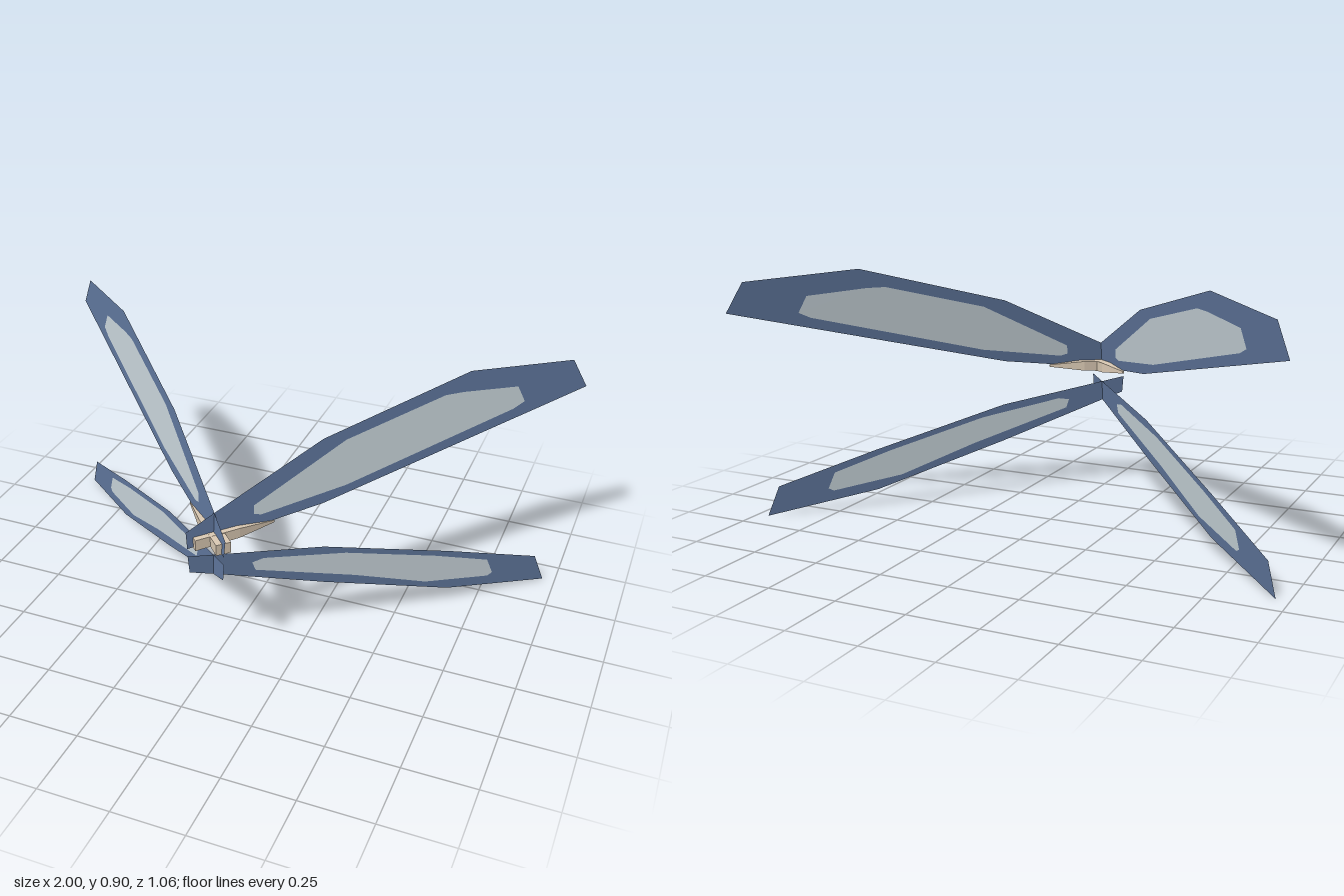
import * as THREE from 'three';

const mat = (name, color) => {
  const m = new THREE.MeshStandardMaterial({ color, side: THREE.DoubleSide });
  m.name = name;
  return m;
};

// Outlines are [x, y]; depth follows from the tilted plane z = a + b*x + c*y
const WINGS = {
  upper: {
    plane: [0.525, -0.959, -0.125],
    edge: [[-0.07, 0.53], [0, 0.58], [0.27, 0.765], [0.655, 0.905], [0.95, 0.874], [1, 0.765], [0.28, 0.53], [-0.065, 0.47]],
    pane: [[0.1, 0.577], [0.33, 0.745], [0.59, 0.835], [0.64, 0.834], [0.795, 0.815], [0.82, 0.755], [0.79, 0.735], [0.34, 0.58], [0.12, 0.538], [0.1, 0.545]],
  },
  lower: {
    plane: [0.497, -0.95, -0.07],
    edge: [[-0.065, 0.44], [0.29, 0.36], [0.655, 0.22], [0.92, 0.11], [0.955, 0], [0.655, 0.065], [0.295, 0.217], [0, 0.352], [-0.06, 0.378]],
    pane: [[0.1, 0.362], [0.13, 0.369], [0.352, 0.315], [0.612, 0.215], [0.77, 0.145], [0.79, 0.085], [0.776, 0.075], [0.588, 0.115], [0.381, 0.215], [0.109, 0.33]],
  },
};

const vec = (pts) => pts.map(([x, y]) => new THREE.Vector2(x, y));

// Flat shape laid onto the wing plane, side = 1 for left, -1 for right
function sheet(shape, [a, b, c], side) {
  const g = new THREE.ShapeGeometry(shape);
  const p = g.attributes.position;
  for (let i = 0; i < p.count; i++) {
    const x = p.getX(i), y = p.getY(i);
    p.setXYZ(i, side * x, y, a + b * x + c * y);
  }
  if (side < 0) {
    const idx = g.index.array;
    for (let i = 0; i < idx.length; i += 3) [idx[i], idx[i + 1]] = [idx[i + 1], idx[i]];
  }
  g.computeVertexNormals();
  return g;
}

// Tapered strut: sections of [x, z, half width, bottom y, top y]
const STRUT = [
  [-0.055, 0.508, 0.026, 0.468, 0.508],
  [0.055, 0.398, 0.026, 0.48, 0.516],
  [0.152, 0.312, 0.003, 0.498, 0.506],
];

function strut(side) {
  const rings = STRUT.map(([x, z, w, lo, hi]) => {
    const d = w * Math.SQRT1_2;
    return [[-d, -d, lo], [d, d, lo], [d, d, hi], [-d, -d, hi]]
      .map(([dx, dz, y]) => [side * (x + dx), y, z + dz]);
  });
  const pos = [];
  const quad = (a, b, c, d) => {
    const q = side > 0 ? [a, b, c, a, c, d] : [a, c, b, a, d, c];
    q.forEach((v) => pos.push(...v));
  };
  // Undersides come first so they form one material group
  for (let k = 0; k < 4; k++) {
    for (let i = 0; i < 2; i++) {
      const r = rings[i], t = rings[i + 1], n = (k + 1) % 4;
      quad(r[k], r[n], t[n], t[k]);
    }
  }
  quad(...[...rings[0]].reverse());
  quad(...rings[2]);
  const g = new THREE.BufferGeometry();
  g.setAttribute('position', new THREE.Float32BufferAttribute(pos, 3));
  g.addGroup(0, 12, 1);
  g.addGroup(12, pos.length / 3 - 12, 0);
  g.computeVertexNormals();
  return g;
}

export function createModel() {
  const model = new THREE.Group();
  model.name = 'wingSet';
  const blue = mat('wingBlue', 0x5f769c);
  const pale = mat('paneGrey', 0xc8d4da);
  const beige = mat('strutBeige', 0xdccbb5);
  const brown = mat('strutUnderside', 0x4a3a34);

  const add = (name, geometry, material, parent) => {
    const m = new THREE.Mesh(geometry, material);
    m.name = name;
    parent.add(m);
  };

  for (const side of [1, -1]) {
    const label = side > 0 ? 'Left' : 'Right';
    // Wings: a blue frame around a pale pane
    for (const [kind, { plane, edge, pane }] of Object.entries(WINGS)) {
      const wing = new THREE.Group();
      wing.name = `${kind}Wing${label}`;
      const frame = new THREE.Shape(vec(edge));
      frame.holes.push(new THREE.Path(vec(pane)));
      add('wingFrame', sheet(frame, plane, side), blue, wing);
      add('wingPane', sheet(new THREE.Shape(vec(pane)), plane, side), pale, wing);
      model.add(wing);
    }
    // Crossed struts at the wing roots
    add(`rootStrut${label}`, strut(side), [beige, brown], model);
  }
  return model;
}
